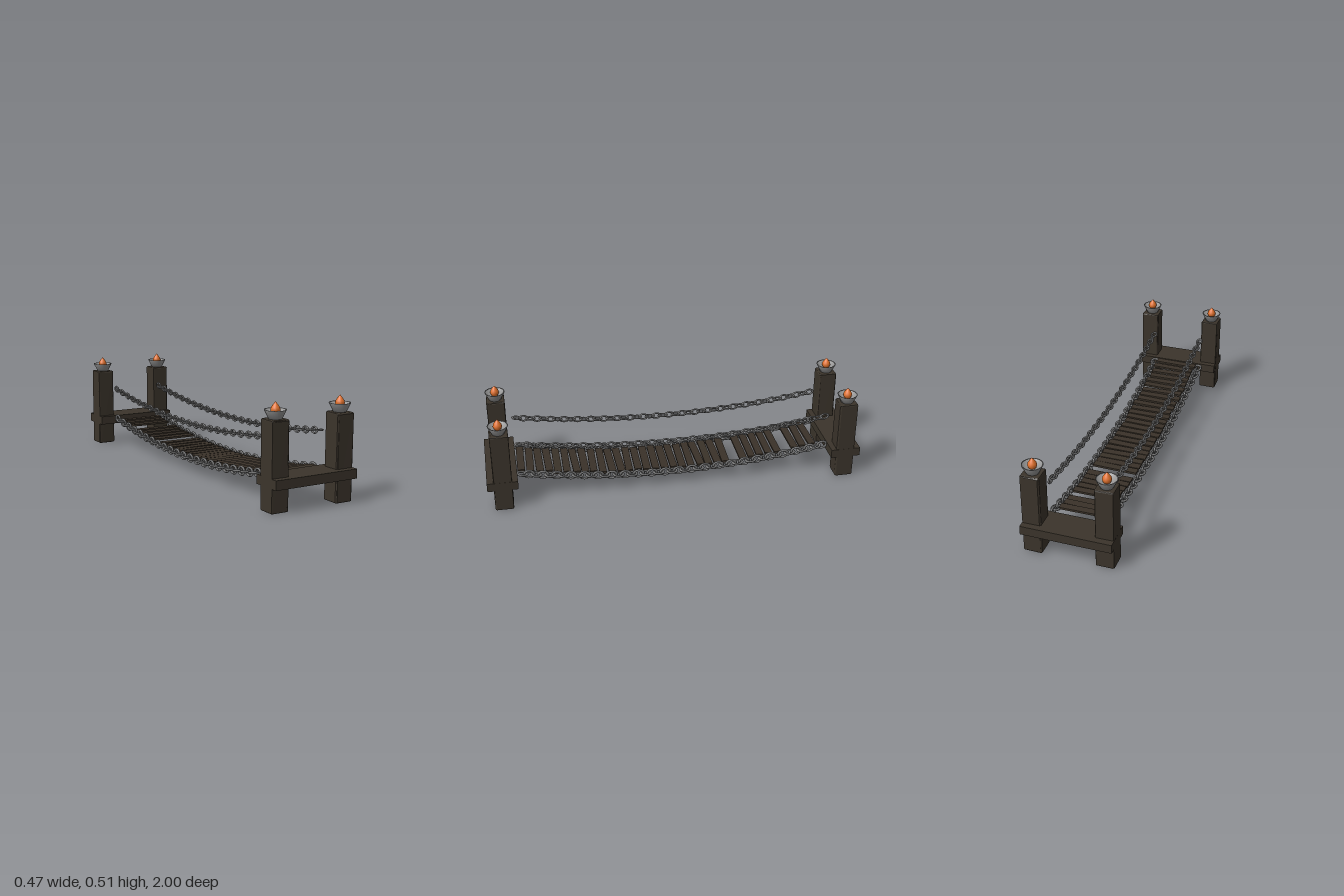
import * as THREE from 'three';
import { RoundedBoxGeometry } from 'three/addons/geometries/RoundedBoxGeometry.js';

const material = (name, color, flatShading = false) => {
  const m = new THREE.MeshStandardMaterial({ color, flatShading });
  m.name = name;
  return m;
};

// Small repeatable random in -1..1
const hash = (n) => {
  const s = Math.sin(n * 127.1 + 11.7) * 43758.5453;
  return (s - Math.floor(s)) * 2 - 1;
};

// Sagging curve: height and slope angle at a given z
const sag = (low, rise) => (z) => ({
  y: low + rise * (z / 0.83) ** 2,
  tilt: -Math.atan((2 * rise * z) / 0.83 ** 2),
});

// Bevelled timber with slightly worn, uneven corners
function timber(w, h, d, bevel, wear, seed) {
  const geo = new RoundedBoxGeometry(w, h, d, 1, bevel);
  const p = geo.attributes.position;
  for (let i = 0; i < p.count; i++) {
    const key = Math.round(p.getX(i) * 1e4) * 0.13 + Math.round(p.getY(i) * 1e4) * 0.37 +
      Math.round(p.getZ(i) * 1e4) * 0.71 + seed;
    p.setX(i, p.getX(i) + hash(key) * wear);
    p.setZ(i, p.getZ(i) + hash(key + 5) * wear);
  }
  return geo;
}

export function createModel() {
  const model = new THREE.Group();
  model.name = 'chainBridge';
  const wood = material('dark wood', 0x3b342b, true);
  const plankWood = material('plank wood', 0x3a3229, true);
  const iron = material('chain iron', 0x727272);
  const steel = material('bowl metal', 0x969696);
  const fire = material('flame orange', 0xe0702a);

  const add = (parent, name, geo, mat, x, y, z) => {
    const mesh = new THREE.Mesh(geo, mat);
    mesh.name = name;
    mesh.position.set(x, y, z);
    parent.add(mesh);
    return mesh;
  };
  const lathe = (points, segments) =>
    new THREE.LatheGeometry(points.map(([r, y]) => new THREE.Vector2(r, y)), segments);

  // Fire bowl and flame profiles, measured from the post top
  const bowlGeo = lathe([[0, 0], [0.032, 0], [0.053, 0.043], [0.046, 0.042], [0.03, 0.024], [0, 0.022]], 24);
  const flameGeo = lathe([[0, 0.018], [0.018, 0.026], [0.0235, 0.04], [0.021, 0.052],
    [0.013, 0.064], [0.006, 0.073], [0, 0.08]], 16);

  // End towers: cross platform, two posts, fire bowls
  for (const end of [1, -1]) {
    const tower = new THREE.Group();
    tower.name = end > 0 ? 'frontTower' : 'backTower';
    model.add(tower);
    add(tower, 'platform', new THREE.BoxGeometry(0.464, 0.047, 0.16), wood, 0, 0.1435, end * 0.92);
    for (const side of [1, -1]) {
      const x = side * 0.184, z = end * 0.918;
      add(tower, 'post', timber(0.096, 0.435, 0.096, 0.007, 0.0015, side + end * 3), wood, x, 0.2175, z);
      add(tower, 'fireBowl', bowlGeo, steel, x, 0.435, z);
      add(tower, 'flame', flameGeo, fire, x, 0.435, z);
    }
  }

  // Deck planks, level but slightly crooked, two of them missing
  const deck = new THREE.Group();
  deck.name = 'deck';
  model.add(deck);
  const deckCurve = sag(0.086, 0.075);
  for (let i = 0; i < 34; i++) {
    if (i === 3 || i === 9) continue;
    const z = -0.762 + i * 0.0478;
    const geo = new THREE.BoxGeometry(0.236 + hash(i) * 0.008, 0.011, 0.04 + hash(i + 40) * 0.002);
    const plank = add(deck, 'plank', geo, plankWood, hash(i + 80) * 0.004, deckCurve(z).y, z);
    plank.rotation.set(0, hash(i + 120) * 0.04, hash(i + 160) * 0.01);
  }

  // Chains of interlocking oval links, alternately flat and upright
  function chain(name, x, curve, halfWidth, halfLength, tube) {
    const group = new THREE.Group();
    group.name = name;
    model.add(group);
    const link = new THREE.TorusGeometry(halfWidth - tube, tube, 6, 14);
    link.scale(1, halfLength / halfWidth, 1).rotateX(Math.PI / 2);
    for (let i = 0; i < 46; i++) {
      const z = 0.815 - i * 0.0362;
      const { y, tilt } = curve(z);
      const mesh = add(group, 'link', link, iron, x, y, z);
      mesh.rotation.set(tilt, 0, i % 2 ? Math.PI / 2 : 0);
    }
  }
  const handCurve = sag(0.268, 0.066);
  const footCurve = sag(0.078, 0.076);
  for (const side of [1, -1]) {
    const label = side > 0 ? 'left' : 'right';
    chain(label + 'HandChain', side * 0.142, handCurve, 0.02, 0.029, 0.005);
    chain(label + 'DeckChain', side * 0.136, footCurve, 0.026, 0.034, 0.006);
  }
  return model;
}
